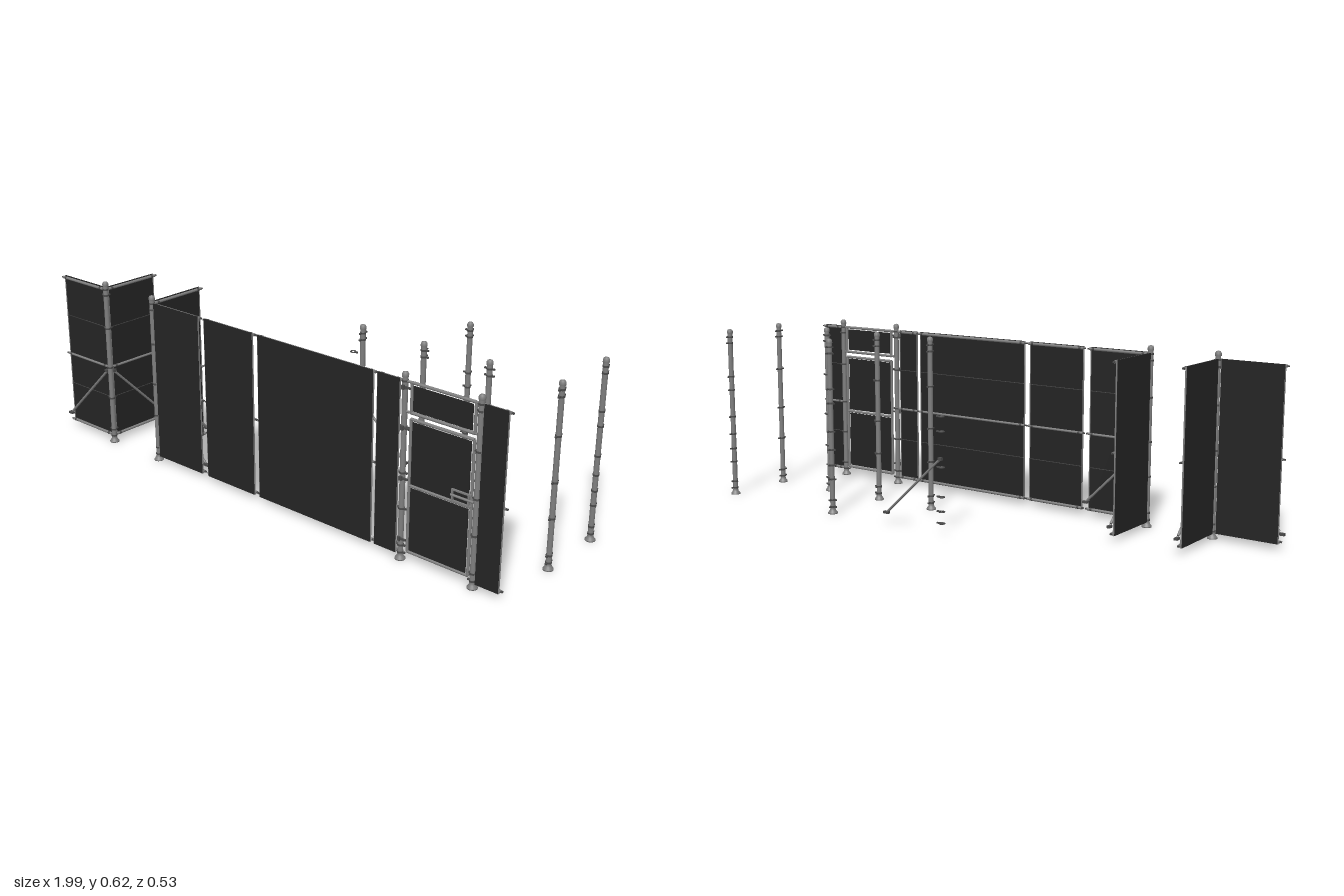
import * as THREE from 'three';

const paint = (name, color, side = THREE.FrontSide) => {
  const m = new THREE.MeshStandardMaterial({ color, side });
  m.name = name;
  return m;
};

export function createModel() {
  const steel = paint('grey steel', 0x7e7e7e);
  const dark = paint('dark steel', 0x4a4a4a);
  const sheet = paint('black sheet', 0x242424);
  const root = new THREE.Group();
  root.name = 'fenceKit';

  const group = (name, x, z, turn = 0) => {
    const g = new THREE.Group();
    g.name = name;
    g.position.set(x, 0, z);
    g.rotation.y = turn;
    root.add(g);
    return g;
  };
  const box = (parent, name, mat, w, h, d, x, y, z) => {
    const m = new THREE.Mesh(new THREE.BoxGeometry(w, h, d), mat);
    m.name = name;
    m.position.set(x, y, z);
    parent.add(m);
    return m;
  };
  // Round tube between two points
  const tube = (parent, name, mat, a, b, r) => {
    const p = new THREE.Vector3(...a), q = new THREE.Vector3(...b);
    const dir = q.clone().sub(p);
    const m = new THREE.Mesh(new THREE.CylinderGeometry(r, r, dir.length(), 12), mat);
    m.name = name;
    m.position.copy(p).add(q).multiplyScalar(0.5);
    m.quaternion.setFromUnitVectors(new THREE.Vector3(0, 1, 0), dir.normalize());
    parent.add(m);
  };

  // Posts: flared foot, shaft and domed cap in one turned profile
  const profile = [[0, 0], [0.017, 0], [0.017, 0.004], [0.011, 0.012], [0.009, 0.02], [0.009, 0.604],
    [0.0108, 0.605], [0.0108, 0.613], [0.008, 0.619], [0, 0.622]].map(p => new THREE.Vector2(...p));
  const postGeo = new THREE.LatheGeometry(profile, 20);
  const collarGeo = new THREE.CylinderGeometry(0.0104, 0.0104, 0.006, 16);
  const levels = [0.025, 0.05, 0.175, 0.295, 0.445, 0.57, 0.592];

  const post = (x, z, dirs, extra = []) => {
    const g = group('post', x, z);
    const shaft = new THREE.Mesh(postGeo, steel);
    shaft.name = 'postShaft';
    g.add(shaft);
    for (const y of [...levels, ...extra]) {
      const c = new THREE.Mesh(collarGeo, dark);
      c.name = 'collar';
      c.position.y = y;
      g.add(c);
      for (const [dx, dz] of dirs)
        box(g, 'collarLug', dark, dx ? 0.01 : 0.006, 0.005, dz ? 0.01 : 0.006, dx * 0.013, y, dz * 0.013);
    }
  };
  const E = [1, 0], W = [-1, 0], S = [0, 1], N = [0, -1];
  post(-0.745, 0.245, [W, N]);
  post(-0.5, 0.245, [E, N]);
  post(0.6, 0.245, [E, W]);
  post(0.87, 0.245, [E, W]);
  post(0.24, 0, [S, N]);
  post(0.485, 0, [E, N]);
  post(0.73, 0, [E, W]);
  post(0.98, 0, [S, N]);
  post(0.485, -0.25, [N, W], [0.125, 0.23, 0.395]);
  post(0.98, -0.25, [N], [0.125, 0.23, 0.395]);

  // Panel running along local x, with rails on one face of the sheet
  const panel = (name, x, z, turn, a, b, side, braced) => {
    const g = group(name, x, z, turn);
    const mid = (a + b) / 2, len = b - a, zs = side * 0.007;
    box(g, 'sheet', sheet, len, 0.577, 0.004, mid, 0.3085, zs);
    for (const e of [a, b]) box(g, 'edgeStrip', steel, 0.003, 0.577, 0.005, e, 0.3085, zs - side * 0.001);
    for (const y of [0.175, 0.445]) box(g, 'seam', dark, len, 0.002, 0.001, mid, y, zs - side * 0.0024);
    for (const [y, r] of [[0.027, 0.005], [0.295, 0.0042], [0.591, 0.005]]) {
      tube(g, 'rail', steel, [a - 0.004, y, 0], [b + 0.004, y, 0], r);
      for (const e of [a + 0.012, b - 0.012])
        tube(g, 'railClamp', dark, [e - 0.004, y, 0], [e + 0.004, y, 0], r + 0.0008);
      for (const e of [a - 0.006, b + 0.006])
        box(g, 'railEnd', dark, 0.01, 0.005, 0.006, e, y, 0);
    }
    if (braced) {
      const zb = -side * 0.005;
      tube(g, 'diagonalBrace', steel, [a, 0.275, zb], [b, 0.06, zb], 0.0045);
      box(g, 'braceFoot', dark, 0.02, 0.008, 0.012, b + 0.008, 0.052, zb);
      box(g, 'braceHead', dark, 0.014, 0.01, 0.01, a - 0.002, 0.28, zb);
    }
  };
  const Q = Math.PI / 2;
  panel('outerCornerFrontPanel', -0.745, 0.245, Math.PI, 0.016, 0.232, 1, true);
  panel('outerCornerSidePanel', -0.745, 0.245, Q, 0.016, 0.23, -1, true);
  panel('innerCornerFrontPanel', -0.5, 0.245, 0, 0.016, 0.234, 1, true);
  panel('innerCornerSidePanel', -0.5, 0.245, Q, 0.016, 0.23, -1, true);
  panel('singlePanel', 0, 0.245, 0, -0.236, -0.015, 1, false);
  panel('widePanel', 0, 0.245, 0, 0.01, 0.486, 1, false);
  panel('doorLeftPanel', 0, 0.245, 0, 0.503, 0.586, 1, false);
  panel('doorRightPanel', 0, 0.245, 0, 0.884, 0.966, 1, false);

  // Doorway: transom above, hinged leaf below
  const door = group('door', 0, 0.245);
  const x0 = 0.626, x1 = 0.852, xm = (x0 + x1) / 2;
  const frame = (name, y0, y1, rails) => {
    for (const x of [x0, x1]) tube(door, name + 'Upright', steel, [x, y0, 0], [x, y1, 0], 0.005);
    for (const y of rails) tube(door, name + 'Rail', steel, [x0, y, 0], [x1, y, 0], 0.005);
  };
  frame('transom', 0.496, 0.592, [0.496, 0.592]);
  frame('leaf', 0.035, 0.476, [0.035, 0.26, 0.476]);
  for (const y of [0.496, 0.592]) tube(door, 'headRail', steel, [0.608, y, 0], [0.862, y, 0], 0.004);
  for (const [y0, y1] of [[0.504, 0.584], [0.267, 0.469], [0.042, 0.253]])
    box(door, 'doorSheet', sheet, x1 - x0 - 0.016, y1 - y0, 0.004, xm, (y0 + y1) / 2, 0.002);

  // Hinges on the left side post
  for (const y of [0.075, 0.28, 0.445, 0.575]) {
    box(door, 'hingeLeaf', dark, 0.026, 0.006, 0.006, 0.613, y, 0.009);
    box(door, 'hingeKnuckle', dark, 0.009, 0.014, 0.007, 0.602, y, 0.0125);
  }
  // Latch: an open bracket with a sliding bolt
  for (const y of [0.267, 0.303]) box(door, 'latchBar', steel, 0.07, 0.005, 0.006, 0.822, y, 0.009);
  for (const x of [0.79, 0.848]) box(door, 'latchCheek', steel, 0.005, 0.036, 0.006, x, 0.285, 0.009);
  tube(door, 'latchBolt', steel, [0.785, 0.285, 0.01], [0.866, 0.285, 0.01], 0.004);

  // Loose diagonal brace and loose clamps
  const spare = group('looseParts', 0, -0.25);
  tube(spare, 'looseBrace', steel, [0.004, 0.255, 0], [0.232, 0.045, 0], 0.0045);
  box(spare, 'looseBraceHead', dark, 0.014, 0.01, 0.01, 0, 0.258, 0);
  box(spare, 'looseBraceFoot', dark, 0.022, 0.008, 0.012, 0.236, 0.042, 0);
  for (const y of [0.04, 0.08, 0.13, 0.23, 0.35, 0.4]) {
    const ring = new THREE.Mesh(new THREE.TorusGeometry(0.0095, 0.0022, 8, 16), dark);
    ring.name = 'looseClamp';
    ring.rotation.x = Q;
    ring.position.set(-0.005, y, 0);
    spare.add(ring);
    box(spare, 'looseClampLug', dark, 0.012, 0.005, 0.006, 0.009, y, 0);
  }
  return root;
}
